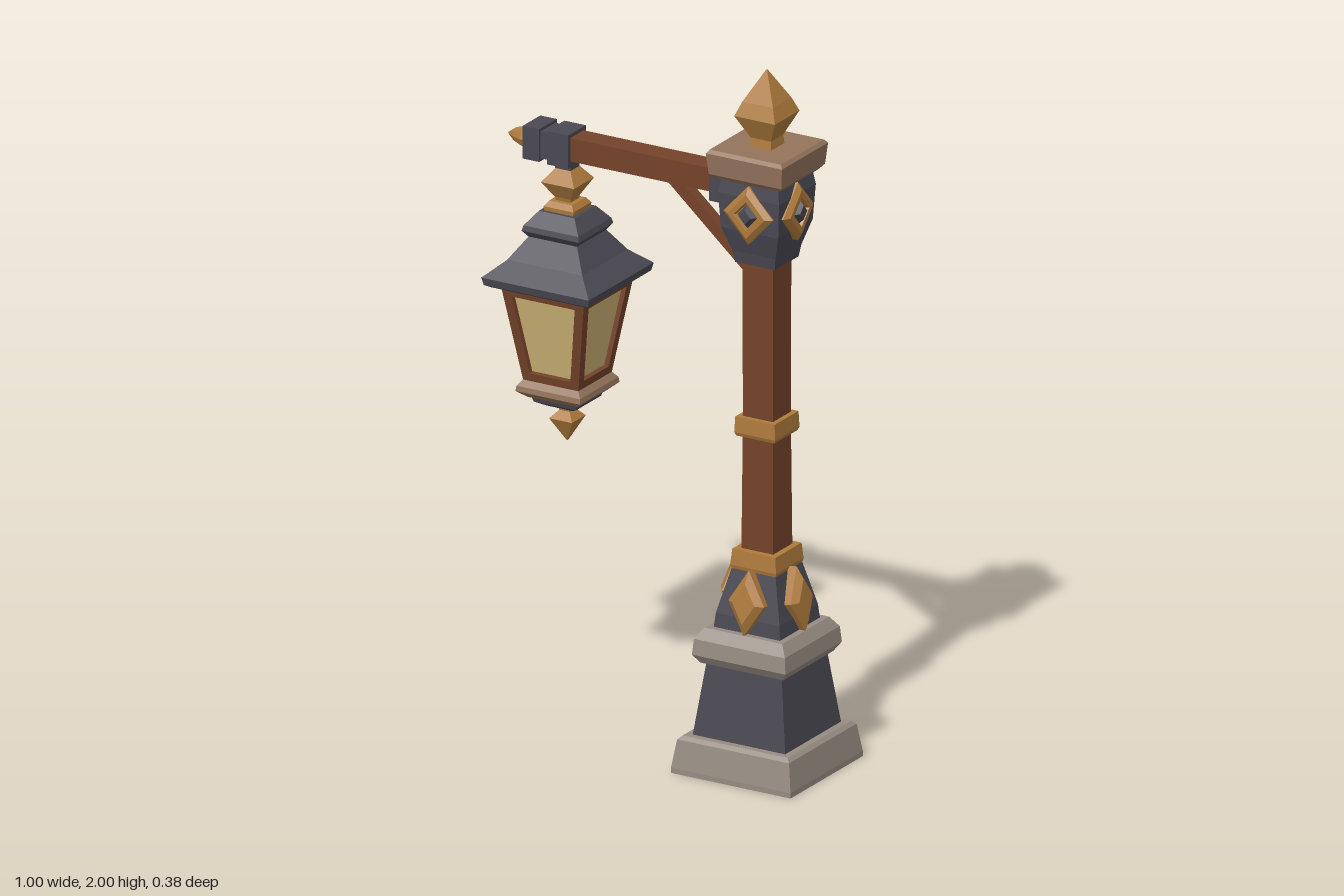
import * as THREE from 'three';

const mat = (name, color) => {
  const m = new THREE.MeshStandardMaterial({ color });
  m.name = name;
  return m;
};

export function createModel() {
  const stone = mat('stone', 0x968c82);
  const tan = mat('tan stone', 0x94745c);
  const iron = mat('dark iron', 0x4a4852);
  const wood = mat('wood', 0x74432a);
  const gold = mat('gold', 0xae7a3c);
  const glass = mat('glass', 0xcbb274);

  const root = new THREE.Group();
  const post = new THREE.Group();
  post.name = 'post';
  post.position.x = 0.312;
  const arm = new THREE.Group();
  arm.name = 'arm';
  const lantern = new THREE.Group();
  lantern.name = 'lantern';
  lantern.position.x = -0.315;
  root.add(post, arm, lantern);

  const flat = (g) => {
    const f = g.index ? g.toNonIndexed() : g;
    f.computeVertexNormals();
    return f;
  };
  const add = (parent, name, geo, material) => {
    const m = new THREE.Mesh(geo, material);
    m.name = name;
    parent.add(m);
    return m;
  };
  // Faceted lathe of [radius, height] points, closed at both ends
  const lathe = (pts, sides) => {
    const closed = [[0, pts[0][1]], ...pts, [0, pts[pts.length - 1][1]]];
    return new THREE.LatheGeometry(closed.map(([r, y]) => new THREE.Vector2(r, y)), sides);
  };
  // Square stack of [half width, height] points
  const stack = (pts) =>
    flat(lathe(pts.map(([h, y]) => [h * Math.SQRT2, y]), 4).rotateY(Math.PI / 4));
  const box = (x0, x1, y0, y1, hz) =>
    new THREE.BoxGeometry(x1 - x0, y1 - y0, hz * 2).translate((x0 + x1) / 2, (y0 + y1) / 2, 0);
  // Diamond plate facing +z, profile of [scale, depth] points
  const diamond = (pts, w, h) => flat(lathe(pts, 4).rotateX(Math.PI / 2).scale(w, h, 1));

  // Plinth
  add(post, 'plinthFoot', stack([[0.188, 0], [0.188, 0.015], [0.176, 0.095], [0.165, 0.105]]), stone);
  add(post, 'plinthBody', stack([[0.146, 0.1], [0.117, 0.32]]), iron);
  add(post, 'plinthCollar', stack([[0.13, 0.31], [0.147, 0.335], [0.143, 0.38], [0.122, 0.41]]), stone);
  add(post, 'plinthTaper', stack([[0.105, 0.4], [0.1, 0.45], [0.068, 0.58]]), iron);
  add(post, 'lowerBand', stack([[0.068, 0.57], [0.072, 0.585], [0.068, 0.63]]), gold);

  // Shaft
  add(post, 'shaft', stack([[0.05, 0.62], [0.047, 1.0], [0.048, 1.48]]), wood);
  add(post, 'middleBand', stack([[0.06, 0.955], [0.064, 0.965], [0.062, 1.01]]), gold);

  // Capital, cap and finial
  add(post, 'capital', stack([[0.062, 1.455], [0.068, 1.49], [0.09, 1.56], [0.096, 1.66], [0.088, 1.71]]), iron);
  add(post, 'cap', stack([[0.1, 1.7], [0.114, 1.715], [0.12, 1.775], [0.112, 1.785]]), tan);
  add(post, 'finial', stack([[0.035, 1.78], [0.032, 1.81], [0.064, 1.875], [0.048, 1.915], [0.002, 2]]), gold);

  // Diamond ornaments on each side of the post
  for (let i = 0; i < 4; i++) {
    const side = new THREE.Group();
    side.name = 'ornamentSide';
    side.rotation.y = (i * Math.PI) / 2;
    post.add(side);
    const low = add(side, 'lowerDiamond',
      diamond([[1, -0.06], [1, 0.02], [0.62, 0.036]], 0.056, 0.092), gold);
    low.position.set(0, 0.495, 0.088);
    low.rotation.x = -0.15;
    if (i === 3) continue;
    const high = add(side, 'upperDiamond',
      diamond([[1, -0.03], [1, 0.004], [0.75, 0.016], [0.5, 0.016], [0.44, 0.006]], 0.078, 0.084), gold);
    high.position.set(0, 1.612, 0.094);
    const boss = add(side, 'diamondBoss', diamond([[1, 0], [0.55, 0.018]], 0.034, 0.037), iron);
    boss.position.set(0, 1.612, 0.098);
  }

  // Arm with clamps and tip
  add(arm, 'beam', box(-0.38, 0.25, 1.63, 1.697, 0.035), wood);
  add(arm, 'postClamp', box(0.16, 0.235, 1.61, 1.71, 0.05), iron);
  add(arm, 'innerClamp', box(-0.352, -0.285, 1.612, 1.708, 0.046), iron);
  add(arm, 'clampNeck', box(-0.38, -0.35, 1.622, 1.7, 0.038), iron);
  add(arm, 'outerClamp', box(-0.428, -0.376, 1.614, 1.708, 0.046), iron);
  const tip = add(arm, 'armTip',
    flat(lathe([[0.032, 0], [0.03, 0.025], [0.019, 0.055], [0.002, 0.078]], 8)), gold);
  tip.rotation.z = Math.PI / 2;
  tip.position.set(-0.422, 1.66, 0);

  // Diagonal brace
  const brace = add(arm, 'brace', new THREE.BoxGeometry(0.36, 0.034, 0.034), wood);
  brace.position.set(0.155, 1.52, 0);
  brace.rotation.z = -Math.atan2(0.22, 0.25);

  // Hanger
  add(lantern, 'hangerLink', box(-0.024, 0.024, 1.56, 1.63, 0.024), iron);
  add(lantern, 'hangerDiamond', stack([[0.02, 1.495], [0.025, 1.515], [0.052, 1.56], [0.022, 1.6]]), gold);
  add(lantern, 'roofCollar', stack([[0.045, 1.47], [0.047, 1.49], [0.036, 1.505]]), gold);

  // Roof
  add(lantern, 'roofTop', stack([[0.075, 1.405], [0.09, 1.425], [0.086, 1.44], [0.056, 1.478]]), iron);
  add(lantern, 'roof', stack([[0.15, 1.27], [0.164, 1.278], [0.169, 1.3], [0.118, 1.345], [0.074, 1.41]]), iron);

  // Glass body and four tilted window frames
  add(lantern, 'glass', stack([[0.072, 0.99], [0.117, 1.275]]), glass);
  const rise = 0.285, top = 0.131, bottom = 0.086;
  const slope = Math.hypot(rise, top - bottom);
  const poly = (Type, pts) => new Type(pts.map(([x, y]) => new THREE.Vector2(x, y)));
  const shape = poly(THREE.Shape, [[-bottom, 0], [bottom, 0], [top, slope], [-top, slope]]);
  shape.holes.push(poly(THREE.Path,
    [[-0.064, 0.03], [-0.099, slope - 0.03], [0.099, slope - 0.03], [0.064, 0.03]]));
  const frameGeo = new THREE.ExtrudeGeometry(shape, { depth: 0.016, bevelEnabled: false })
    .translate(0, 0, -0.016)
    .rotateX(Math.atan2(top - bottom, rise))
    .translate(0, 0.99, bottom);
  for (let i = 0; i < 4; i++) {
    add(lantern, 'windowFrame', frameGeo, wood).rotation.y = (i * Math.PI) / 2;
  }

  // Lantern base and pendant
  add(lantern, 'baseCollar', stack([[0.078, 0.945], [0.102, 0.965], [0.1, 0.98], [0.084, 1.0]]), tan);
  add(lantern, 'baseCup', stack([[0.04, 0.915], [0.066, 0.93], [0.074, 0.955]]), iron);
  add(lantern, 'pendant', stack([[0.002, 0.812], [0.036, 0.878], [0.016, 0.9], [0.02, 0.92]]), gold);

  return root;
}
